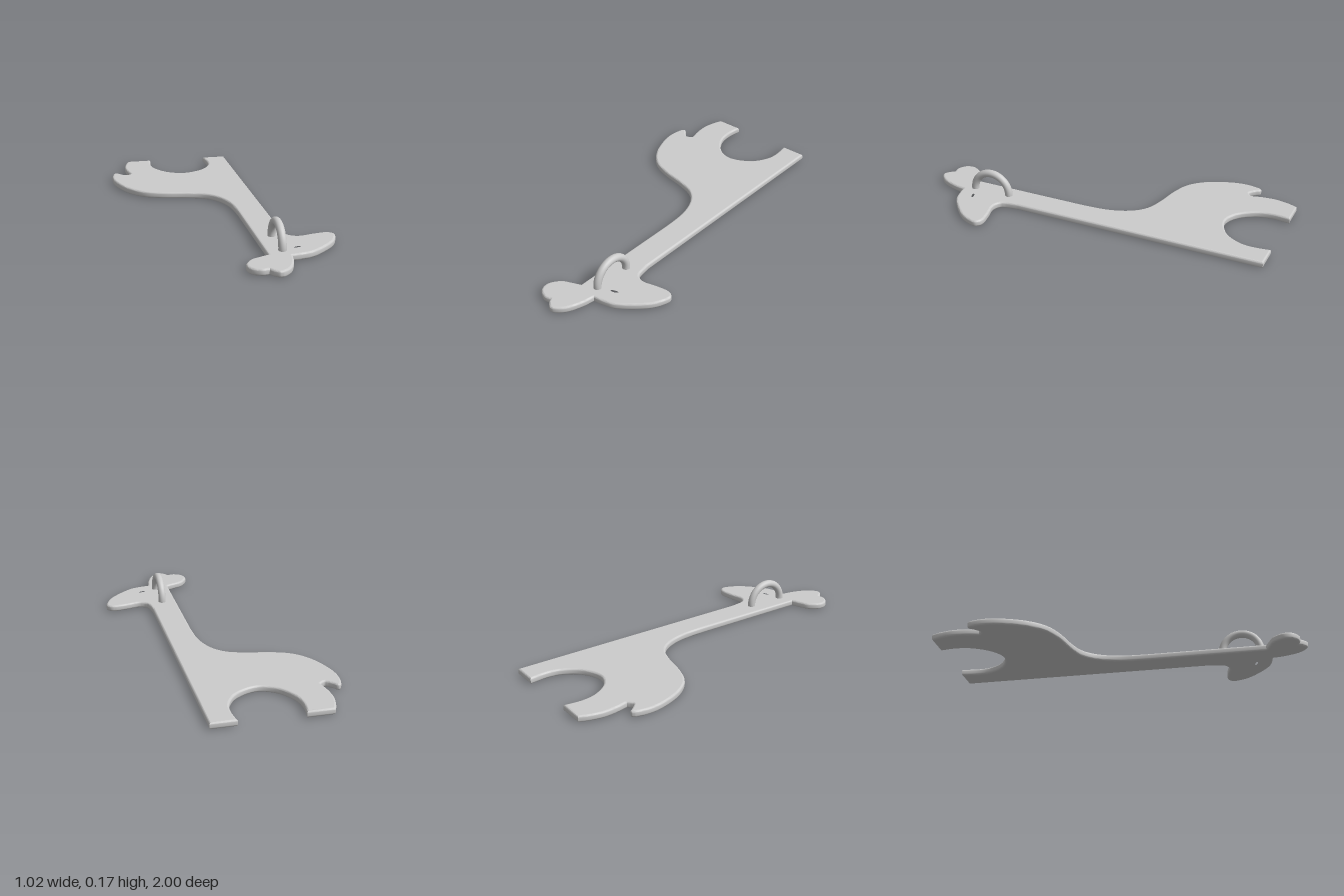
import * as THREE from 'three';
import { toCreasedNormals } from 'three/addons/utils/BufferGeometryUtils.js';

const THICKNESS = 0.037;
const BEVEL = 0.011;

// Outline in plan as [x, z]; each run is a smooth curve, with a corner where runs meet.
const RUNS = [
  // long straight edge
  [[0.25, -1], [0.25, 0.42]],
  // rounded snout
  [[0.25, 0.42], [0.262, 0.5], [0.285, 0.53], [0.325, 0.54], [0.39, 0.525], [0.46, 0.515], [0.495, 0.527],
    [0.508, 0.56], [0.475, 0.64], [0.41, 0.71], [0.33, 0.77], [0.265, 0.79], [0.212, 0.797]],
  // two-lobed crest
  [[0.212, 0.797], [0.2, 0.865], [0.165, 0.95], [0.11, 0.995], [0.072, 0.975], [0.055, 0.95]],
  [[0.055, 0.95], [0.015, 0.955], [-0.032, 0.925], [-0.043, 0.87], [-0.005, 0.812], [0.045, 0.787], [0.095, 0.767]],
  // neck edge
  [[0.095, 0.767], [0.095, 0.1]],
  // chest, rump and tail
  [[0.095, 0.1], [0.085, -0.05], [0.045, -0.17], [-0.025, -0.247], [-0.13, -0.285], [-0.26, -0.313],
    [-0.37, -0.36], [-0.45, -0.45], [-0.5, -0.57], [-0.515, -0.665], [-0.502, -0.745], [-0.48, -0.763],
    [-0.455, -0.735], [-0.425, -0.711], [-0.395, -0.73]],
  // hind leg
  [[-0.395, -0.73], [-0.41, -0.795], [-0.415, -0.875], [-0.4, -0.95], [-0.38, -1]],
  [[-0.38, -1], [-0.235, -1]],
  // round opening between the legs
  [[-0.235, -1], [-0.245, -0.9], [-0.225, -0.81], [-0.16, -0.722], [-0.065, -0.687], [0.045, -0.735],
    [0.105, -0.82], [0.12, -0.9], [0.11, -1]],
  [[0.11, -1], [0.25, -1]],
];

function outline() {
  const pts = [];
  for (const run of RUNS) {
    const v = run.map(([x, z]) => new THREE.Vector2(x, -z));
    const line = v.length === 2 ? v : new THREE.SplineCurve(v).getPoints((v.length - 1) * 5);
    pts.push(...line.slice(0, -1));
  }
  return new THREE.Shape(pts);
}

// Smooth the rounded rim while keeping both broad faces perfectly flat.
function smoothRim(geometry) {
  const g = toCreasedNormals(geometry, 0.7);
  const p = g.attributes.position, n = g.attributes.normal;
  for (let i = 0; i < p.count; i += 3) {
    const z = p.getZ(i);
    if (Math.abs(p.getZ(i + 1) - z) > 1e-6 || Math.abs(p.getZ(i + 2) - z) > 1e-6) continue;
    for (let k = 0; k < 3; k++) n.setXYZ(i + k, 0, 0, z > THICKNESS / 2 ? 1 : -1);
  }
  return g;
}

export function createModel() {
  const model = new THREE.Group();
  model.name = 'animalHook';
  const material = new THREE.MeshStandardMaterial({ color: 0xcccccc });
  const add = (name, geometry, parent = model) => {
    const mesh = new THREE.Mesh(geometry, material);
    mesh.name = name;
    parent.add(mesh);
    return mesh;
  };

  // Flat body with a pierced eye
  const shape = outline();
  const eye = new THREE.Path();
  eye.absellipse(0.265, -0.7, 0.034, 0.018, 0, Math.PI * 2, true, 0.3);
  shape.holes.push(eye);
  const plate = new THREE.ExtrudeGeometry(shape, {
    depth: THICKNESS - 2 * BEVEL, bevelEnabled: true, bevelThickness: BEVEL,
    bevelSize: BEVEL, bevelOffset: -BEVEL, bevelSegments: 4, curveSegments: 10,
  });
  plate.translate(0, 0, BEVEL);
  add('body', smoothRim(plate).rotateX(-Math.PI / 2));

  // Half-ring loop standing on the head
  const loop = new THREE.Group();
  loop.name = 'loop';
  loop.position.set(0.177, 0.042, 0.625);
  loop.rotation.y = Math.PI / 2;
  model.add(loop);
  const radius = 0.108, tube = 0.0215;
  add('loopArch', new THREE.TorusGeometry(radius, tube, 20, 40, Math.PI), loop);
  for (const side of [-1, 1]) {
    const foot = add('loopFoot', new THREE.CylinderGeometry(tube, tube, 0.025, 20), loop);
    foot.position.set(side * radius, -0.0125, 0);
  }
  return model;
}
